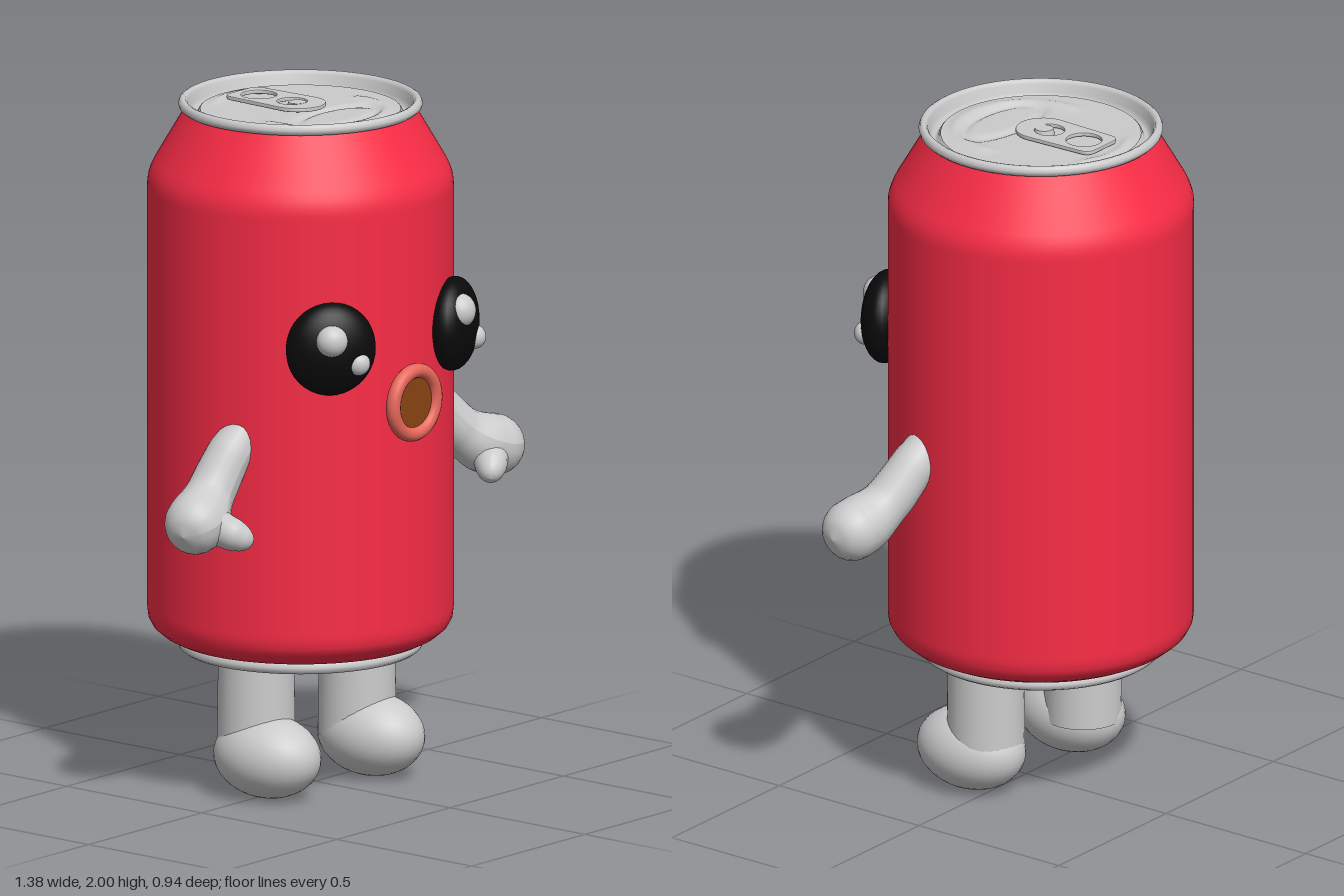
import * as THREE from 'three';

const CX = -0.02, CZ = -0.037; // axis of the can

const mat = (color) => new THREE.MeshStandardMaterial({ color });
const grey = mat(0xcccccc), red = mat(0xf92c46), black = mat(0x0a0a0a);
const coral = mat(0xe8685c), brown = mat(0x8a4513);

function add(parent, name, geometry, material, x = 0, y = 0, z = 0) {
  const mesh = new THREE.Mesh(geometry, material);
  mesh.name = name;
  mesh.position.set(x, y, z);
  parent.add(mesh);
  return mesh;
}

const lathe = (pts) => new THREE.LatheGeometry(pts.map(([r, y]) => new THREE.Vector2(r, y)), 72);

function ellipsoid(rx, ry, rz) {
  return new THREE.SphereGeometry(1, 32, 20).scale(rx, ry, rz);
}

// Tube along a curve with changing radius and a rounded end
function limb(points, radii) {
  const curve = new THREE.CatmullRomCurve3(points.map((p) => new THREE.Vector3(...p)));
  const rows = 44, sides = 20;
  const geo = new THREE.TubeGeometry(curve, rows, 1, sides);
  const pos = geo.attributes.position, v = new THREE.Vector3();
  const cap = radii[radii.length - 1] / curve.getLength();
  for (let i = 0; i <= rows; i++) {
    const t = i / rows, c = curve.getPointAt(t);
    const f = t * (radii.length - 1), k = Math.min(Math.floor(f), radii.length - 2);
    let r = THREE.MathUtils.lerp(radii[k], radii[k + 1], THREE.MathUtils.smoothstep(f - k, 0, 1));
    const e = (t - 1 + cap) / cap;
    if (e > 0) r *= Math.sqrt(Math.max(0, 1 - e * e));
    for (let j = 0; j <= sides; j++) {
      const n = i * (sides + 1) + j;
      v.fromBufferAttribute(pos, n).sub(c).multiplyScalar(r).add(c);
      pos.setXYZ(n, v.x, v.y, v.z);
    }
  }
  geo.computeVertexNormals();
  return geo;
}

// Lid panel with pressed beads around the opening and behind the tab
function lidPanel() {
  const geo = new THREE.RingGeometry(0.0001, 0.285, 96, 40).rotateX(-Math.PI / 2);
  const pos = geo.attributes.position;
  const bump = (d, w) => Math.exp(-(d * d) / (w * w));
  for (let i = 0; i < pos.count; i++) {
    const x = pos.getX(i), z = pos.getZ(i);
    const mouth = Math.hypot(x / 0.155, (z - 0.14) / 0.072);
    const bead = Math.hypot(x / 0.2, (z - 0.06) / 0.19);
    const back = Math.hypot(x / 0.13, (z + 0.17) / 0.09);
    let y = -0.008 * bump((mouth - 1) * 0.09, 0.014);
    y += 0.007 * bump((bead - 1) * 0.19, 0.02) * THREE.MathUtils.smoothstep(z, 0, 0.06);
    y += 0.006 * bump((back - 1) * 0.1, 0.015) * THREE.MathUtils.smoothstep(-z, 0.2, 0.24);
    pos.setY(i, y);
  }
  geo.computeVertexNormals();
  return geo;
}

// Pull tab: rounded plate with a finger hole and a rivet hole
function tabGeometry() {
  const s = new THREE.Shape();
  s.moveTo(-0.077, 0.01);
  s.absarc(0, 0.01, 0.077, Math.PI, Math.PI * 2, false);
  s.lineTo(0.07, 0.2);
  s.quadraticCurveTo(0.068, 0.222, 0.045, 0.224);
  s.lineTo(-0.045, 0.224);
  s.quadraticCurveTo(-0.068, 0.222, -0.07, 0.2);
  for (const [y, r] of [[0.154, 0.054], [0.031, 0.046]]) {
    s.holes.push(new THREE.Path().absarc(0, y, r, 0, Math.PI * 2, true));
  }
  return new THREE.ExtrudeGeometry(s, {
    depth: 0.006, bevelEnabled: true, bevelSize: 0.003, bevelThickness: 0.003, bevelSegments: 2, curveSegments: 24,
  }).rotateX(-Math.PI / 2);
}

function buildCan() {
  const can = new THREE.Group();
  can.name = 'can';
  can.position.set(CX, 0, CZ);
  add(can, 'canBody', lathe([
    [0.335, 0.43], [0.365, 0.432], [0.395, 0.447], [0.42, 0.468], [0.432, 0.49], [0.435, 0.515],
    [0.435, 0.53], [0.435, 1.74], [0.435, 1.755], [0.433, 1.775], [0.426, 1.797], [0.415, 1.82],
    [0.345, 1.94], [0.332, 1.962], [0.325, 1.975],
  ]), red);
  add(can, 'bottomRim', lathe([
    [0, 0.45], [0.18, 0.445], [0.285, 0.432], [0.305, 0.405], [0.318, 0.395], [0.335, 0.396],
    [0.345, 0.403], [0.347, 0.415], [0.342, 0.428], [0.33, 0.436],
  ]), grey);
  add(can, 'topRim', lathe([
    [0.322, 1.968], [0.338, 1.969], [0.345, 1.976], [0.347, 1.985], [0.343, 1.995], [0.335, 2],
    [0.326, 1.997], [0.321, 1.988], [0.316, 1.965], [0.31, 1.952], [0.302, 1.948], [0.294, 1.952],
    [0.289, 1.964], [0.283, 1.968],
  ]), grey);
  add(can, 'lid', lidPanel(), grey, 0, 1.968, 0);
  add(can, 'pullTab', tabGeometry(), grey, 0, 1.976, 0);
  add(can, 'rivet', new THREE.CylinderGeometry(0.026, 0.03, 0.018, 24), grey, 0, 1.976, -0.012);
  return can;
}

export function createModel() {
  const model = new THREE.Group();
  model.name = 'canCharacter';
  model.add(buildCan());

  // Eyes lie on the curved wall, each with two highlights [x, y, z, radius]
  const eyes = [
    ['rightEye', [-0.29, 1.368, 0.302], -0.67, [[-0.338, 1.405, 0.347, 0.045], [-0.258, 1.33, 0.377, 0.034]]],
    ['leftEye', [0.17, 1.368, 0.37], 0.435, [[0.14, 1.418, 0.42, 0.05], [0.222, 1.325, 0.407, 0.034]]],
  ];
  for (const [name, p, turn, lights] of eyes) {
    add(model, name, ellipsoid(0.13, 0.135, 0.069), black, ...p).rotation.y = turn;
    for (const [x, y, z, r] of lights) {
      add(model, name + 'Highlight', ellipsoid(r, r, r * 0.9), grey, x, y, z).rotation.y = turn;
    }
  }

  // Open mouth: ring of lips around a dark disc
  add(model, 'lips', new THREE.TorusGeometry(0.092, 0.021, 16, 48), coral, -0.06, 1.187, 0.418);
  add(model, 'mouth', new THREE.CylinderGeometry(0.088, 0.088, 0.03, 40).rotateX(Math.PI / 2), brown,
    -0.06, 1.187, 0.407);

  // Arms with mitten hands and small thumbs
  const arms = [
    ['leftArm', [[0.33, 1.125, 0.075], [0.41, 1.05, 0.095], [0.49, 0.962, 0.125], [0.575, 0.91, 0.155], [0.685, 0.895, 0.17]],
      [[0.57, 0.9, 0.17], [0.52, 0.868, 0.215], [0.475, 0.838, 0.25]]],
    ['rightArm', [[-0.38, 1.125, 0.07], [-0.45, 1.04, 0.052], [-0.51, 0.955, 0.045], [-0.585, 0.89, 0.06], [-0.685, 0.855, 0.085]],
      [[-0.58, 0.88, 0.09], [-0.54, 0.85, 0.14], [-0.5, 0.82, 0.19]]],
  ];
  for (const [name, path, thumb] of arms) {
    add(model, name, limb(path, [0.055, 0.066, 0.07, 0.088, 0.092]), grey);
    add(model, name + 'Thumb', limb(thumb, [0.06, 0.048, 0.03]), grey);
  }

  // Legs and round feet
  for (const [side, x, z, footX, footZ] of [['left', 0.162, 0.02, 0.167, 0.068], ['right', -0.212, -0.04, -0.232, 0.018]]) {
    add(model, side + 'Leg', new THREE.CylinderGeometry(0.108, 0.112, 0.33, 32), grey, x, 0.29, z);
    add(model, side + 'Foot', ellipsoid(0.127, 0.12, 0.17), grey, footX, 0.125, footZ);
  }
  return model;
}
